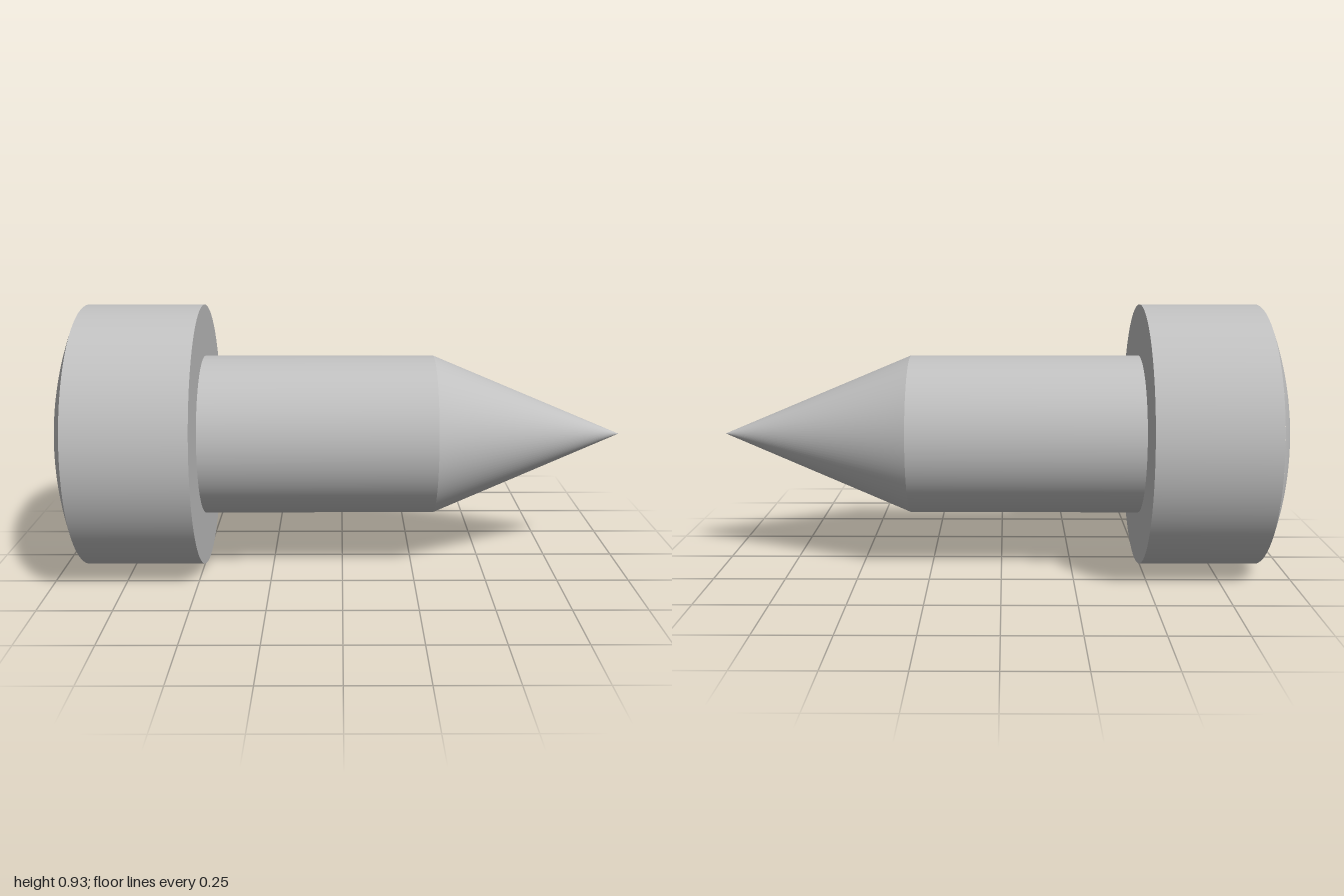
import * as THREE from 'three';

const CY = 0.465;            // height of the screw axis
const HEAD_R = 0.465, SHANK_R = 0.283;
const DOME_X = -0.9, HEAD_X = -0.49, TAPER_X = 0.325, TIP_X = 1;
const DOME_H = 0.1;
const SPHERE_R = (HEAD_R * HEAD_R + DOME_H * DOME_H) / (2 * DOME_H);
const FLOOR_X = -0.8;        // bottom of the cross recess

const domeX = (r) => DOME_X - DOME_H + SPHERE_R - Math.sqrt(SPHERE_R * SPHERE_R - r * r);

// Cross outline with filleted inner corners, as [z, y] points counter-clockwise
function crossOutline(L = 0.235, w = 0.053, f = 0.03) {
  const arm = [];
  const line = (ax, ay, bx, by, n) => {
    for (let i = 0; i < n; i++) arm.push([ax + (bx - ax) * i / n, ay + (by - ay) * i / n]);
  };
  line(L, -w, L, w, 6);
  line(L, w, w + f, w, 8);
  for (let i = 0; i < 6; i++) {
    const a = -Math.PI / 2 * (1 + i / 6);
    arm.push([w + f + f * Math.cos(a), w + f + f * Math.sin(a)]);
  }
  line(w, w + f, w, L, 8);
  const out = [];
  for (let k = 0; k < 4; k++) {
    const c = Math.round(Math.cos(k * Math.PI / 2)), s = Math.round(Math.sin(k * Math.PI / 2));
    for (const [u, v] of arm) out.push([u * c - v * s, u * s + v * c]);
  }
  return out;
}

// Skin between closed loops of [x, y, z] points, ordered from inside to outside
function loft(rows, flat) {
  const n = rows[0].length, index = [];
  for (let j = 0; j < rows.length - 1; j++) {
    for (let i = 0; i < n; i++) {
      const k = (i + 1) % n;
      const a = j * n + i, b = a + n, c = (j + 1) * n + k, d = j * n + k;
      index.push(a, b, c, a, c, d);
    }
  }
  let g = new THREE.BufferGeometry();
  g.setAttribute('position', new THREE.Float32BufferAttribute(rows.flat(2), 3));
  g.setIndex(index);
  if (flat) g = g.toNonIndexed();
  g.computeVertexNormals();
  return g;
}

export function createModel() {
  const steel = new THREE.MeshStandardMaterial({ color: 0xc0c0c0 });
  steel.name = 'steel grey';
  const screw = new THREE.Group();
  screw.name = 'screw';
  const add = (name, geometry) => {
    const mesh = new THREE.Mesh(geometry, steel);
    mesh.name = name;
    screw.add(mesh);
    return mesh;
  };

  // Open round section running along x
  const section = (name, x0, x1, r0, r1) => {
    const g = new THREE.CylinderGeometry(r1, r0, x1 - x0, 96, 1, true);
    g.rotateZ(-Math.PI / 2);
    g.translate((x0 + x1) / 2, CY, 0);
    add(name, g);
  };
  section('headSide', DOME_X, HEAD_X, HEAD_R, HEAD_R);
  section('shank', HEAD_X, TAPER_X, SHANK_R, SHANK_R);
  section('point', TAPER_X, TIP_X, SHANK_R, 0);

  // Flat underside of the head around the shank
  const under = new THREE.RingGeometry(SHANK_R, HEAD_R, 96);
  under.rotateY(Math.PI / 2);
  under.translate(HEAD_X, CY, 0);
  add('headUnderside', under);

  // Domed face, spreading from the recess rim to the head edge
  const cross = crossOutline();
  const domeRows = [];
  for (let j = 0; j <= 10; j++) {
    domeRows.push(cross.map(([z, y]) => {
      const r0 = Math.hypot(z, y), r = r0 + (HEAD_R - r0) * j / 10;
      return [domeX(r), CY + y * r / r0, z * r / r0];
    }));
  }
  add('headDome', loft(domeRows));

  // Cross recess: walls and floor
  const floorRim = cross.map(([z, y]) => [FLOOR_X, CY + y, z]);
  add('recessWalls', loft([floorRim, domeRows[0]], true));
  add('recessFloor', loft([cross.map(() => [FLOOR_X, CY, 0]), floorRim], true));

  return screw;
}
